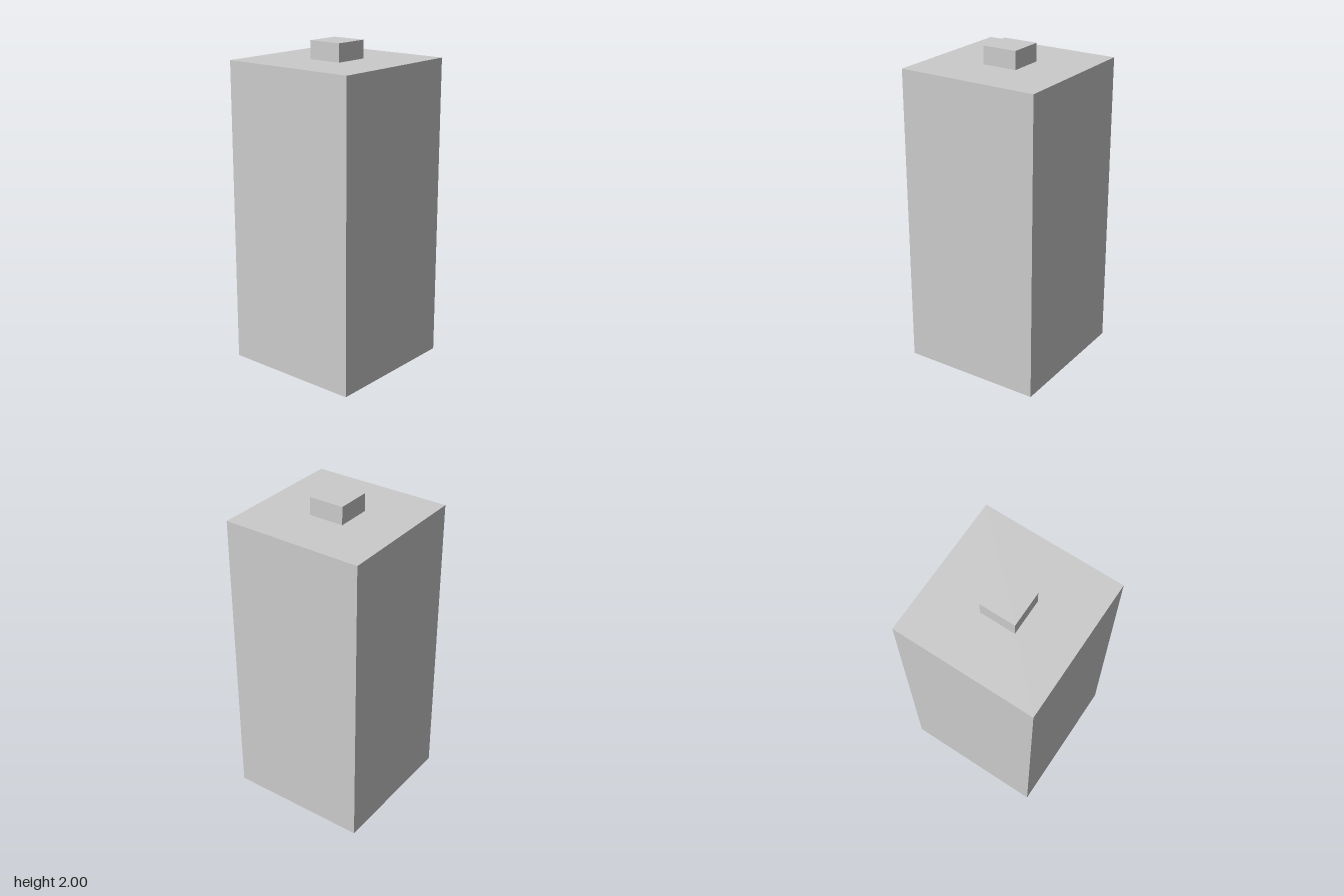
import * as THREE from 'three';

export function createModel() {
  const group = new THREE.Group();
  const material = new THREE.MeshStandardMaterial({ color: 0xcccccc, flatShading: true });

  // Square block standing on the given base height
  const addBlock = (name, width, height, baseY) => {
    const mesh = new THREE.Mesh(new THREE.BoxGeometry(width, height, width), material);
    mesh.name = name;
    mesh.position.y = baseY + height / 2;
    group.add(mesh);
  };

  const bodyHeight = 1.889;
  addBlock('body', 0.889, bodyHeight, 0);
  addBlock('topKnob', 0.222, 2 - bodyHeight, bodyHeight);

  return group;
}
